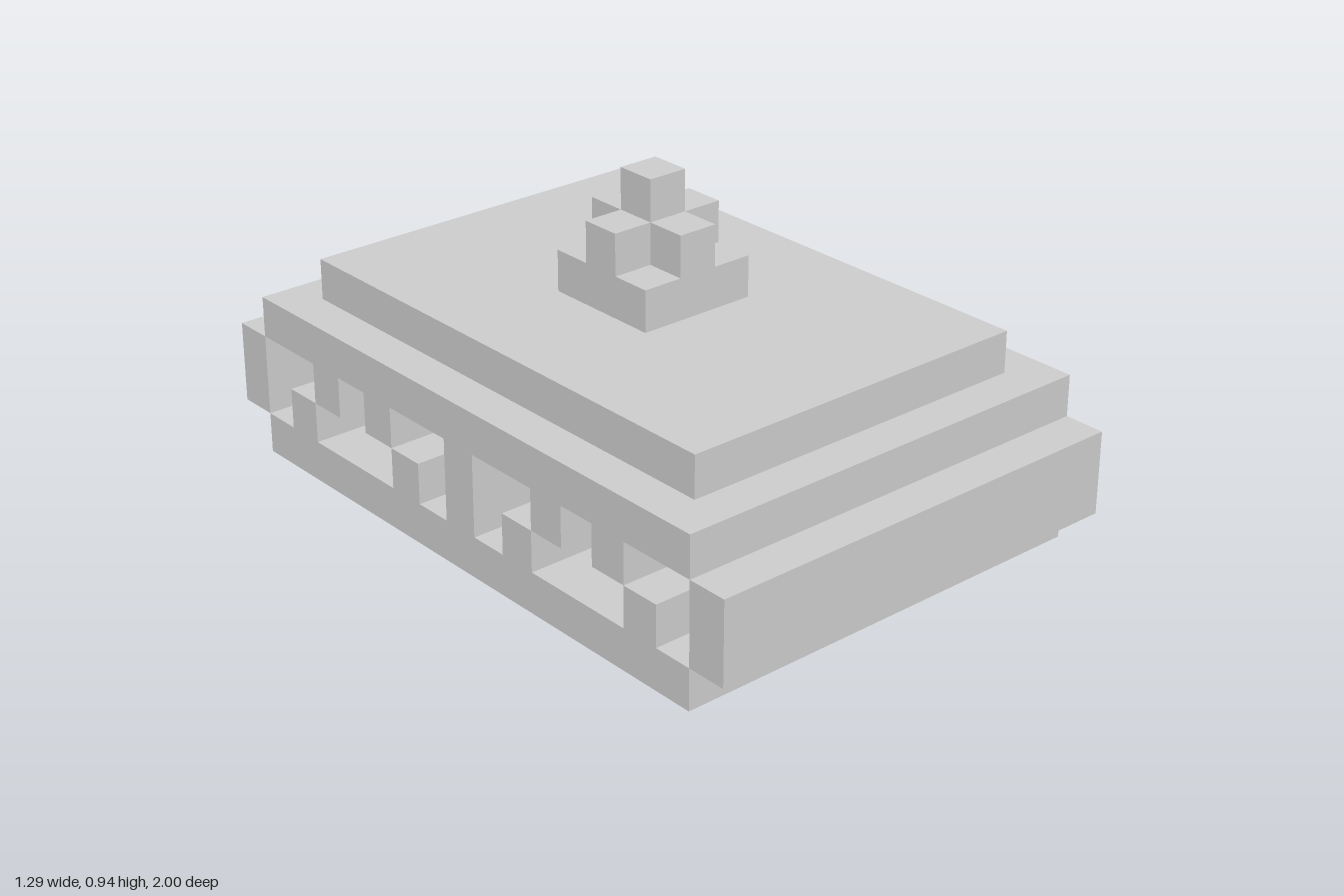
import * as THREE from 'three';

const U = 2 / 17; // one block
const WIDTH = 11;
const material = new THREE.MeshStandardMaterial({ color: 0xcccccc, flatShading: true });

function add(parent, name, geometry, x = 0, y = 0, z = 0) {
  const mesh = new THREE.Mesh(geometry, material);
  mesh.name = name;
  mesh.position.set(x, y, z);
  parent.add(mesh);
}

// Box measured in blocks, standing on height y
function block(parent, name, w, h, d, x, y, z) {
  add(parent, name, new THREE.BoxGeometry(w * U, h * U, d * U), x * U, (y + h / 2) * U, z * U);
}

// One-block slab with teeth along z, extruded across the width; dir is the way the teeth point
function toothedSlab(teeth, dir) {
  const half = teeth.length / 2;
  const pts = [[-half, -dir], [-half, 0]];
  let level = 0;
  teeth.forEach((t, i) => {
    if (t !== level) pts.push([i - half, level * dir], [i - half, t * dir]);
    level = t;
  });
  pts.push([half, 0], [half, -dir]);
  const shape = new THREE.Shape(pts.map(([a, b]) => new THREE.Vector2(a * U, b * U)));
  const geometry = new THREE.ExtrudeGeometry(shape, { depth: WIDTH * U, bevelEnabled: false });
  return geometry.translate(0, 0, -WIDTH * U / 2).rotateY(-Math.PI / 2);
}

export function createModel() {
  const model = new THREE.Group();
  model.name = 'steppedMonument';

  // Base and ceiling with interleaved teeth, joined by the central wall
  add(model, 'toothedBase', toothedSlab([0, 1, 0, 0, 0, 1, 0, 2, 0, 1, 0, 0, 0, 1, 0], 1), 0, U, 0);
  add(model, 'toothedCeiling', toothedSlab([0, 0, 1, 0, 1, 0, 0, 0, 0, 0, 1, 0, 1, 0, 0], -1), 0, 3 * U, 0);

  // Projecting front and back bars
  block(model, 'frontBar', WIDTH, 2, 1, 0, 1, 8);
  block(model, 'backBar', WIDTH, 2, 1, 0, 1, -8);

  // Upper tier
  block(model, 'upperTier', 9, 1, 13, 0, 4, 0);

  // Finial: square foot, four arms and a central post
  const finial = new THREE.Group();
  finial.name = 'finial';
  block(finial, 'finialFoot', 3, 1, 3, 0, 5, 0);
  for (const [x, z] of [[1, 0], [-1, 0], [0, 1], [0, -1]]) block(finial, 'finialArm', 1, 1, 1, x, 6, z);
  block(finial, 'finialPost', 1, 2, 1, 0, 6, 0);
  model.add(finial);

  return model;
}
